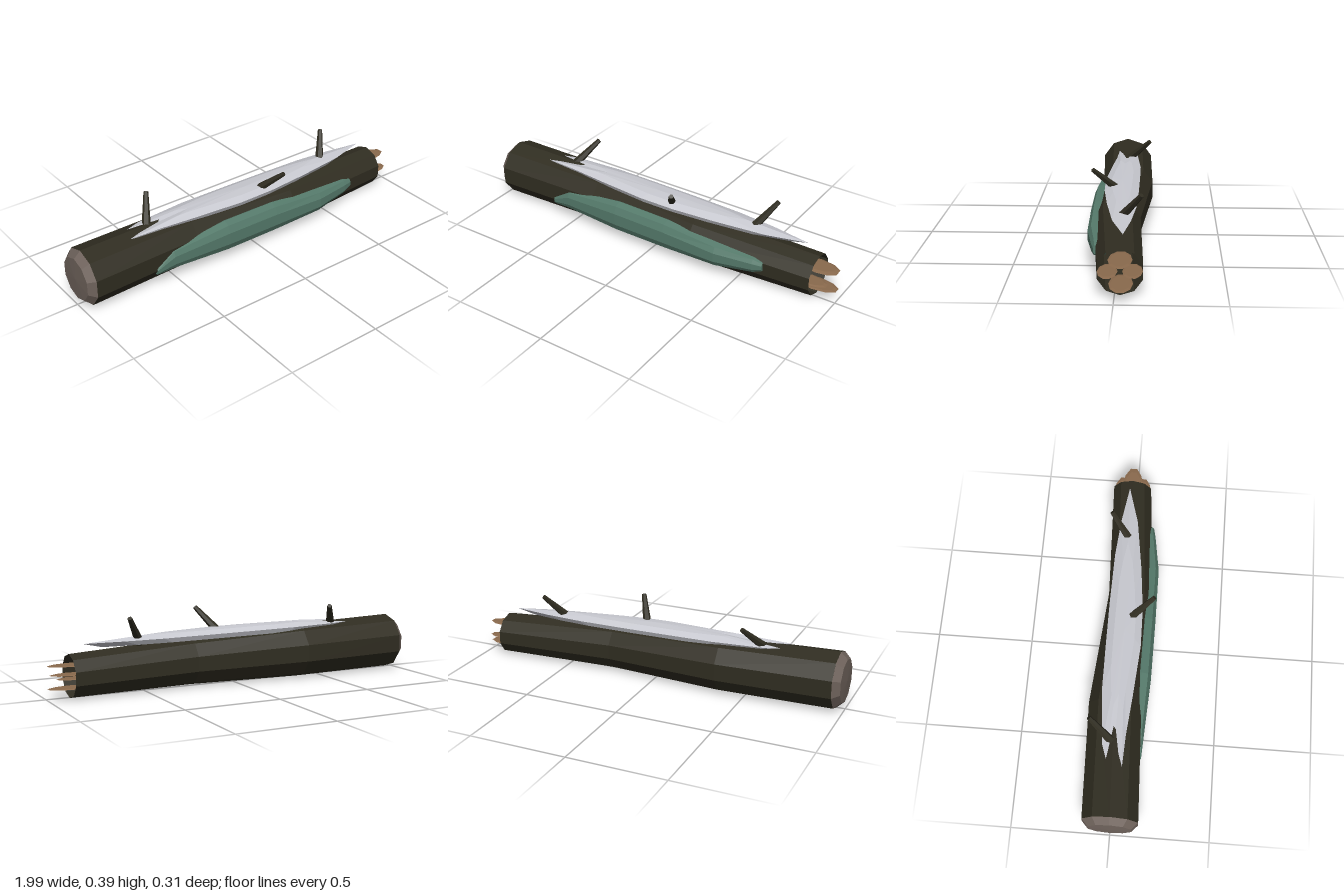
import * as THREE from 'three';

const mat = (name, color, extra = {}) =>
  Object.assign(new THREE.MeshStandardMaterial({ color, flatShading: true, ...extra }), { name });

// Skin a list of closed rings (arrays of Vector3); optional centre points close the ends.
function loft(rings, startCentre, endCentre) {
  const n = rings[0].length, pos = [];
  const tri = (...pts) => pts.forEach(p => pos.push(p.x, p.y, p.z));
  for (let i = 0; i < rings.length - 1; i++) {
    for (let j = 0; j < n; j++) {
      const k = (j + 1) % n;
      const [a, b, c, d] = [rings[i][j], rings[i][k], rings[i + 1][j], rings[i + 1][k]];
      tri(a, b, c);
      tri(b, d, c);
    }
  }
  const last = rings[rings.length - 1];
  for (let j = 0; j < n; j++) {
    const k = (j + 1) % n;
    if (startCentre) tri(startCentre, rings[0][k], rings[0][j]);
    if (endCentre) tri(endCentre, last[j], last[k]);
  }
  const g = new THREE.BufferGeometry();
  g.setAttribute('position', new THREE.Float32BufferAttribute(pos, 3));
  g.computeVertexNormals();
  return g;
}

// Ring around the x axis; power below 1 makes it boxier.
function ring(x, cy, cz, ry, rz, sides, power = 1) {
  const shape = v => Math.sign(v) * Math.pow(Math.abs(v), power);
  return Array.from({ length: sides }, (_, i) => {
    const a = (i / sides) * Math.PI * 2;
    return new THREE.Vector3(x, cy + ry * shape(Math.cos(a)), cz + rz * shape(Math.sin(a)));
  });
}

export function createModel() {
  const model = new THREE.Group();
  model.name = 'fallenLog';
  const bark = mat('bark', 0x302d21, { side: THREE.DoubleSide });
  const wood = mat('cut wood', 0x6e625b, { side: THREE.DoubleSide });
  const splinterWood = mat('splinter wood', 0x8a6a4d, { side: THREE.DoubleSide });
  const moss = mat('moss', 0x557a6b);
  const snow = mat('pale top', 0xc8c9d0);
  const add = (name, geometry, material) => {
    const m = new THREE.Mesh(geometry, material);
    m.name = name;
    model.add(m);
    return m;
  };

  // Hollow, gently bent trunk: x, centre y, centre z, radius
  const trunk = [
    [-0.96, 0.153, 0, 0.146],
    [-0.37, 0.145, -0.021, 0.14],
    [0.24, 0.13, 0.014, 0.122],
    [0.89, 0.115, -0.025, 0.107],
  ];
  add('trunk', loft(trunk.map(([x, y, z, r]) => ring(x, y, z, r, r, 10))), bark);

  // Bevelled cut face closing the wide end
  add('cutEnd', loft([
    ring(-0.995, 0.153, 0, 0.112, 0.112, 10),
    ring(-0.96, 0.153, 0, 0.145, 0.145, 10),
  ], new THREE.Vector3(-1, 0.153, 0)), wood);

  // Flat splinters in the open end: x, y, z, half length, half width
  [
    [0.88, 0.17, -0.025, 0.12, 0.055],
    [0.87, 0.113, 0.032, 0.1, 0.046],
    [0.87, 0.115, -0.08, 0.1, 0.046],
    [0.88, 0.06, -0.028, 0.12, 0.055],
  ].forEach(([x, y, z, rx, rz]) => {
    const s = add('splinter', new THREE.CylinderGeometry(0.8, 1, 0.003, 10), splinterWood);
    s.scale.set(rx, 1, rz);
    s.position.set(x, y, z);
  });

  // Moss pad on the front side: x, centre y, centre z, half height, half depth
  const pad = [
    [-0.62, 0.1, 0.112, 0.02, 0.018],
    [-0.52, 0.13, 0.1, 0.055, 0.036],
    [-0.2, 0.137, 0.1, 0.082, 0.053],
    [0.1, 0.135, 0.1, 0.08, 0.055],
    [0.4, 0.125, 0.1, 0.062, 0.053],
    [0.6, 0.13, 0.082, 0.043, 0.04],
    [0.65, 0.135, 0.088, 0.025, 0.022],
  ];
  add('mossPad', loft(pad.map(p => ring(...p, 10, 0.8)),
    new THREE.Vector3(-0.62, 0.1, 0.112), new THREE.Vector3(0.65, 0.135, 0.088)), moss);

  // Pale layer on top, with a forked tail and a pointed end: outline as x, z
  const outline = [
    [-0.55, 0.047], [-0.35, 0.066], [-0.08, 0.087], [0.12, 0.083], [0.35, 0.06], [0.62, 0.022],
    [0.82, -0.035], [0.62, -0.066], [0.42, -0.084], [0.15, -0.09], [-0.1, -0.091], [-0.33, -0.09],
    [-0.6, -0.067], [-0.675, -0.042], [-0.58, -0.005], [-0.71, 0.04],
  ];
  const layer = (scale, rise) => outline.map(([x, z]) =>
    new THREE.Vector3(x * scale, 0.275 - x * scale * 0.011 + rise, z * scale));
  add('topLayer', loft([layer(0.88, -0.024), layer(1, 0), layer(0.6, 0.018)],
    new THREE.Vector3(0, 0.25, 0), new THREE.Vector3(0, 0.298, 0)), snow);

  // Broken branch stubs: base and tip
  [
    [[-0.59, 0.26, -0.01], [-0.503, 0.386, -0.137]],
    [[0.06, 0.25, 0], [0.147, 0.386, 0.14]],
    [[0.52, 0.25, -0.01], [0.61, 0.386, -0.113]],
  ].forEach(([from, to]) => {
    const a = new THREE.Vector3(...from), b = new THREE.Vector3(...to);
    const dir = b.clone().sub(a);
    const stub = add('branchStub', new THREE.CylinderGeometry(0.012, 0.024, dir.length(), 6), bark);
    stub.position.copy(a).add(b).multiplyScalar(0.5);
    stub.quaternion.setFromUnitVectors(new THREE.Vector3(0, 1, 0), dir.normalize());
  });

  return model;
}
